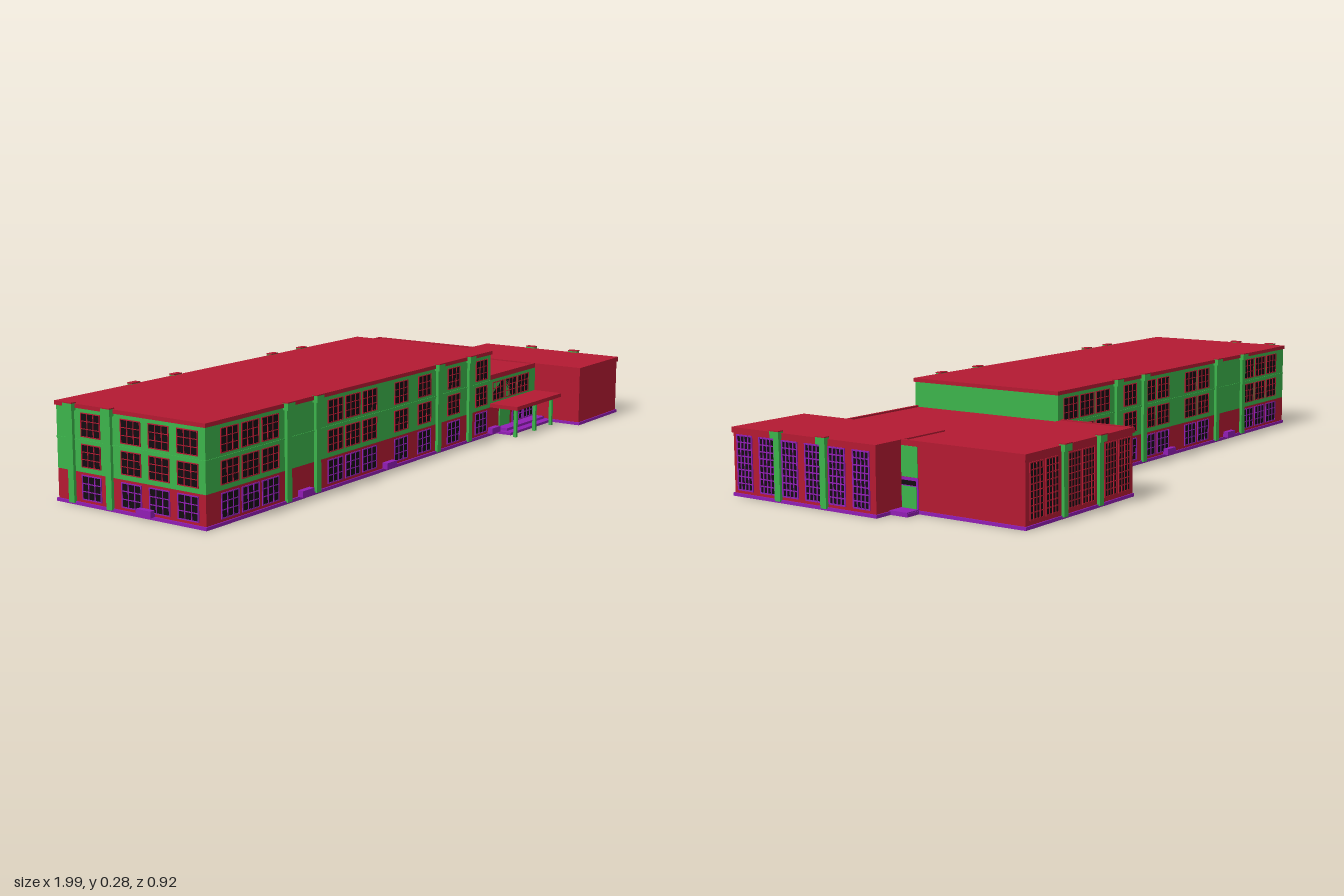
import * as THREE from 'three';
import { mergeGeometries } from 'three/addons/utils/BufferGeometryUtils.js';

const mat = (color) => new THREE.MeshStandardMaterial({ color });
const RED = mat(0xb41a32), GREEN = mat(0x3cb44b), PURPLE = mat(0x911eb4), BLACK = mat(0x120c10);

// Box from its minimum and maximum corners
function boxGeo(x0, x1, y0, y1, z0, z1) {
  return new THREE.BoxGeometry(x1 - x0, y1 - y0, z1 - z0)
    .translate((x0 + x1) / 2, (y0 + y1) / 2, (z0 + z1) / 2);
}

function add(parent, name, material, geometry) {
  const mesh = new THREE.Mesh(geometry, material);
  mesh.name = name;
  parent.add(mesh);
  return mesh;
}

// Flat slab of a plan outline given as [x, z] corners
function slabGeo(points, y0, y1) {
  const shape = new THREE.Shape(points.map(([x, z]) => new THREE.Vector2(x, -z)));
  return new THREE.ExtrudeGeometry(shape, { depth: y1 - y0, bevelEnabled: false })
    .rotateX(-Math.PI / 2).translate(0, y0, 0);
}

// A wall face: details are placed by world coordinate along the wall, height and distance outwards
const SIDES = { front: [0, 1], back: [Math.PI, -1], right: [Math.PI / 2, -1], left: [-Math.PI / 2, 1] };
class Facade {
  constructor(name, side, plane) {
    [this.angle, this.sign] = SIDES[side];
    this.name = name;
    this.plane = plane;
    this.parts = new Map();
  }
  box(part, material, a, b, y0, y1, out, inner = -0.002) {
    const [u0, u1] = [a * this.sign, b * this.sign].sort((p, q) => p - q);
    if (!this.parts.has(part)) this.parts.set(part, { material, list: [] });
    this.parts.get(part).list.push(boxGeo(u0, u1, y0, y1, inner, out));
  }
  // Glass pane with a frame and glazing bars
  window(a, b, y0, y1, cols, rows, part, material, t = 0.003) {
    this.box('windowGlass', BLACK, a, b, y0, y1, 0.001);
    for (let i = 0; i <= cols; i++) {
      const w = i % cols ? t * 0.8 : t, u = a + (b - a) * i / cols;
      this.box(part, material, u - w / 2, u + w / 2, y0 - t / 2, y1 + t / 2, 0.003);
    }
    for (let j = 0; j <= rows; j++) {
      const w = j % rows ? t * 0.8 : t, y = y0 + (y1 - y0) * j / rows;
      this.box(part, material, a, b, y - w / 2, y + w / 2, 0.0026);
    }
  }
  // Slim pier with a wider cap and a red cover plate
  pier(c, top) {
    this.box('pier', GREEN, c - 0.01, c + 0.01, 0.005, top - 0.02, 0.009);
    this.box('pierCap', GREEN, c - 0.016, c + 0.016, top - 0.022, top - 0.003, 0.016);
    this.box('pierCover', RED, c - 0.017, c + 0.017, top - 0.003, top, 0.017);
  }
  build(parent) {
    const group = new THREE.Group();
    group.name = this.name;
    for (const [part, { material, list }] of this.parts) add(group, part, material, mergeGeometries(list));
    group.rotation.y = this.angle;
    group.position.set(Math.sin(this.angle) * this.plane, 0, Math.cos(this.angle) * this.plane);
    parent.add(group);
  }
}

// Three storeys of windows, piers and low steps on one side of the main block
function mainFacade(parent, name, side, plane, starts, width, piers, steps, ends) {
  const f = new Facade(name, side, plane);
  for (const s of starts) {
    f.window(s, s + width, 0.018, 0.082, 3, 3, 'groundWindowFrame', PURPLE);
    for (const [y0, y1] of [[0.105, 0.165], [0.186, 0.248]])
      f.window(s, s + width, y0, y1, 3, 3, 'upperWindowFrame', RED, 0.0025);
  }
  piers.forEach((c) => f.pier(c, 0.275));
  for (const c of steps) f.box('entranceStep', PURPLE, c - 0.025, c + 0.025, 0.008, 0.026, 0.017);
  f.box('stringCourse', GREEN, ends[0], ends[1], 0.173, 0.177, 0.002);
  f.build(parent);
}

export function createModel() {
  const model = new THREE.Group();
  model.name = 'schoolBuilding';

  // Foundation slab under the whole plan
  add(model, 'foundation', PURPLE, slabGeo([
    [-0.984, 0.304], [-0.984, -0.214], [0.382, -0.214], [0.382, -0.449], [0.884, -0.449],
    [0.884, -0.11], [0.93, -0.11], [0.93, -0.054], [0.984, -0.054], [0.984, 0.459],
    [0.706, 0.459], [0.706, 0.304]], 0, 0.009));

  // Main three-storey block
  const main = new THREE.Group();
  main.name = 'mainBlock';
  model.add(main);
  add(main, 'groundStoreyWall', RED, boxGeo(-0.98, 0.4, 0.009, 0.09, -0.21, 0.3));
  add(main, 'upperStoreyWall', GREEN, boxGeo(-0.98, 0.4, 0.09, 0.26, -0.21, 0.3));
  add(main, 'mainRoof', RED, boxGeo(-0.984, 0.404, 0.26, 0.271, -0.214, 0.304));
  mainFacade(main, 'mainFront', 'front', 0.3,
    [-0.922, -0.84, -0.758, -0.47, -0.388, -0.306, -0.145, -0.02, 0.145, 0.31], 0.068,
    [-0.652, -0.523, 0.088, 0.268], [-0.58, -0.18, 0.415], [-0.98, 0.4]);
  mainFacade(main, 'mainBack', 'back', 0.21,
    [-0.922, -0.84, -0.758, -0.45, -0.368, -0.2, -0.118, -0.01, 0.14, 0.222, 0.304], 0.068,
    [-0.675, -0.5, -0.05, 0.1], [-0.58, -0.195, 0.255], [-0.98, 0.385]);
  mainFacade(main, 'mainLeftEnd', 'left', 0.98,
    [-0.12, 0.02, 0.115, 0.21], 0.066, [-0.155, -0.02], [0.105], [-0.21, 0.3]);

  // Single-storey wing: link, rear room and hall
  const wing = new THREE.Group();
  wing.name = 'lowWing';
  model.add(wing);
  add(wing, 'wingWall', RED, slabGeo([
    [0.399, 0.29], [0.399, -0.209], [0.385, -0.209], [0.385, -0.445], [0.88, -0.445],
    [0.88, -0.05], [0.98, -0.05], [0.98, 0.455], [0.71, 0.455], [0.71, 0.29]], 0.009, 0.176));
  add(wing, 'linkRoof', RED, boxGeo(0.4, 0.884, 0.176, 0.186, -0.212, 0.294));
  add(wing, 'rearRoof', RED, boxGeo(0.381, 0.884, 0.1755, 0.188, -0.449, -0.208));
  add(wing, 'hallRoof', RED, boxGeo(0.704, 0.984, 0.175, 0.19, -0.054, 0.459));

  // Raised parapet edges around the link and rear roofs
  add(wing, 'parapet', RED, mergeGeometries([
    boxGeo(0.381, 0.884, 0.18, 0.191, -0.449, -0.441), boxGeo(0.381, 0.389, 0.18, 0.191, -0.441, -0.212),
    boxGeo(0.876, 0.884, 0.18, 0.191, -0.441, -0.054), boxGeo(0.404, 0.704, 0.18, 0.191, 0.286, 0.294)]));

  // Hall side with tall windows and the side entrance
  const hall = new Facade('hallSide', 'right', 0.98);
  for (let i = 0; i < 6; i++) {
    const z = 0.414 - i * 0.0831;
    hall.window(z - 0.027, z + 0.027, 0.019, 0.169, 4, 8, 'tallWindowFrame', PURPLE, 0.004);
  }
  [0.289, 0.125].forEach((z) => hall.pier(z, 0.197));
  hall.build(wing);

  const entrance = new Facade('sideEntrance', 'right', 0.88);
  entrance.box('entrancePanel', GREEN, -0.105, -0.051, 0.094, 0.175, 0.002);
  entrance.box('doorFrame', PURPLE, -0.107, -0.051, 0.01, 0.093, 0.002);
  entrance.box('door', GREEN, -0.102, -0.053, 0.012, 0.07, 0.004);
  entrance.box('doorLight', BLACK, -0.1, -0.053, 0.073, 0.085, 0.004);
  entrance.box('doorStep', PURPLE, -0.108, -0.051, 0.005, 0.012, 0.05);
  entrance.build(wing);

  // Rear room windows
  const rear = new Facade('rearSide', 'back', 0.445);
  for (const x of [0.4, 0.468, 0.574, 0.638, 0.738, 0.806])
    rear.window(x, x + 0.056, 0.022, 0.166, 4, 8, 'rearWindowFrame', RED, 0.003);
  [0.55, 0.715].forEach((x) => rear.pier(x, 0.197));
  rear.build(wing);

  // Link front: upper windows, door and glazed screen under the canopy
  const link = new Facade('linkFront', 'front', 0.29);
  link.box('upperPanel', GREEN, 0.401, 0.709, 0.09, 0.175, 0.001);
  for (const x of [0.432, 0.512, 0.592])
    link.window(x, x + 0.07, 0.106, 0.164, 3, 3, 'linkWindowFrame', RED, 0.003);
  link.box('frontDoor', GREEN, 0.475, 0.54, 0.01, 0.076, 0.004);
  for (const x of [0.562, 0.635]) link.window(x, x + 0.062, 0.018, 0.078, 3, 3, 'screenFrame', PURPLE, 0.004);
  link.build(wing);

  // Entrance canopy with posts and steps
  const canopy = new THREE.Group();
  canopy.name = 'entranceCanopy';
  model.add(canopy);
  add(canopy, 'canopyRoof', RED, boxGeo(0.416, 0.709, 0.087, 0.099, 0.291, 0.39));
  for (const x of [0.427, 0.55, 0.66]) add(canopy, 'canopyPost', GREEN, boxGeo(x - 0.005, x + 0.005, 0, 0.088, 0.374, 0.384));
  add(canopy, 'lowerStep', PURPLE, boxGeo(0.44, 0.706, 0, 0.008, 0.3, 0.355));
  add(canopy, 'upperStep', PURPLE, boxGeo(0.46, 0.706, 0.007, 0.016, 0.292, 0.33));

  return model;
}
